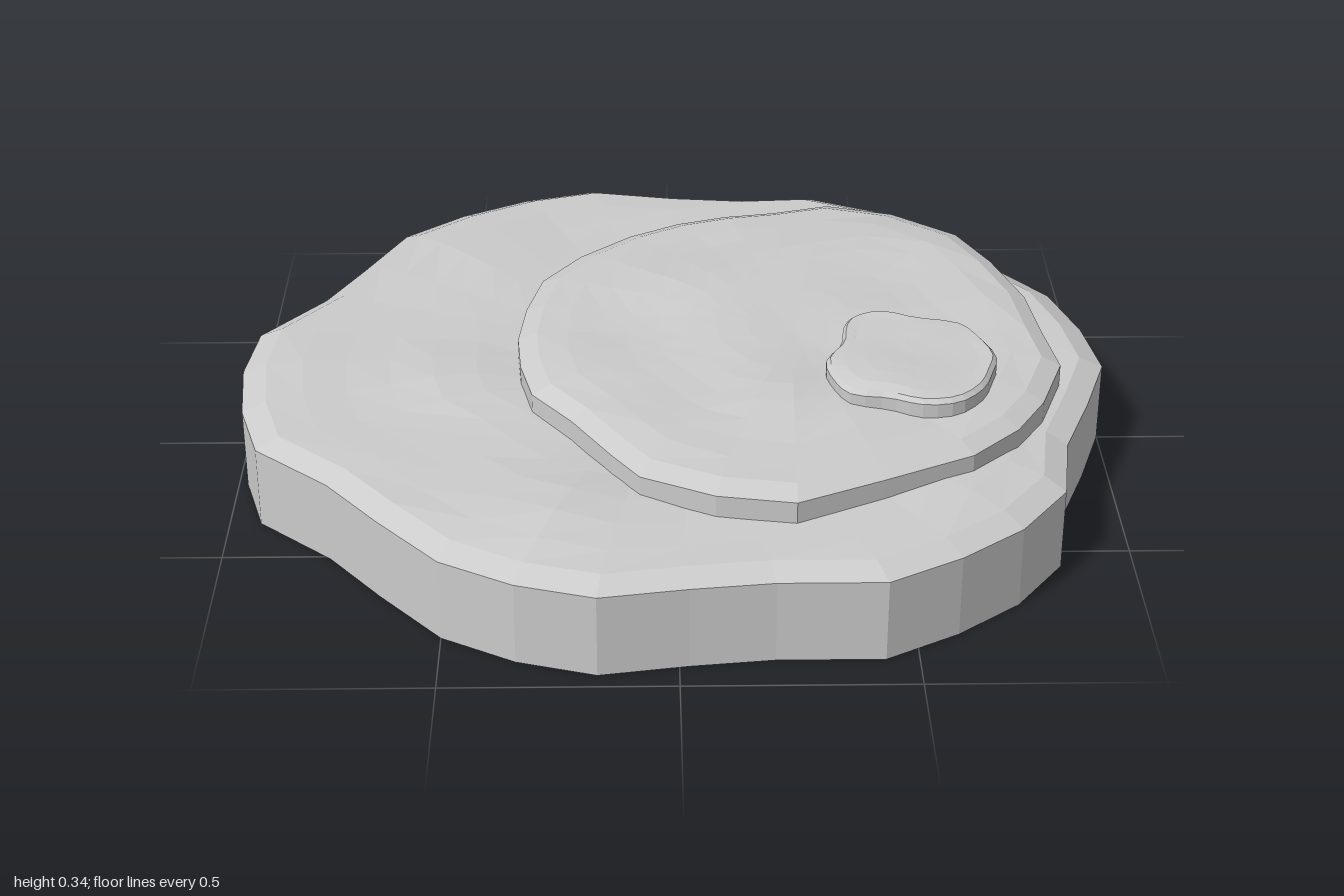
import * as THREE from 'three';

// Outlines as x, z pairs, running from +x towards -z
const BASE = [
  1, 0, .975, -.18, .92, -.36, .79, -.53, .68, -.72, .54, -.84, .37, -.92, .2, -.91,
  .01, -.93, -.2, -.97, -.37, -.92, -.53, -.83, -.67, -.71, -.76, -.52, -.84, -.36, -.98, -.18,
  -1, 0, -.98, .19, -.93, .36, -.76, .51, -.64, .66, -.5, .82, -.34, .91, -.17, .96,
  .02, .93, .2, .91, .43, .91, .59, .82, .73, .71, .84, .56, .87, .36, .94, .18];
const MIDDLE = [
  .88, .13, .86, -.02, .84, -.21, .78, -.4, .71, -.55, .56, -.67, .4, -.72, .26, -.68,
  .14, -.66, .02, -.62, -.1, -.55, -.22, -.44, -.31, -.31, -.345, -.16, -.36, -.01, -.35, .12,
  -.32, .25, -.23, .37, -.14, .52, -.08, .61, .08, .69, .25, .72, .44, .63, .64, .53,
  .75, .42, .82, .3];
const TOP = [
  .725, .19, .7, .1, .66, .03, .56, 0, .48, -.035, .415, -.01, .39, .04, .38, .12,
  .34, .2, .35, .28, .385, .35, .47, .37, .54, .4, .62, .39, .68, .33, .71, .25];

const toPoints = (a) => Array.from({ length: a.length / 2 }, (_, i) => new THREE.Vector2(a[2 * i], a[2 * i + 1]));

// Closed smooth resampling of an outline
function smooth(points, n) {
  const curve = new THREE.CatmullRomCurve3(points.map((p) => new THREE.Vector3(p.x, 0, p.y)), true);
  return Array.from({ length: n }, (_, i) => {
    const p = curve.getPoint(i / n);
    return new THREE.Vector2(p.x, p.z);
  });
}

// Soft mound used by the height rules
const mound = (x, z, cx, cz, r, h) => h * Math.exp(-((x - cx) ** 2 + (z - cz) ** 2) / (r * r));

// Slab: straight wall, bevelled rim, uneven top made of shrinking rings, flat underside
function slab(name, outline, { cx, cz, bottom, wallTop, rim, rimScale, rings, height }) {
  const n = outline.length, pos = [], index = [];
  const addRing = (s, yAt) => outline.forEach((p) => {
    const x = cx + (p.x - cx) * s, z = cz + (p.y - cz) * s;
    pos.push(x, yAt(x, z), z);
  });
  addRing(1, () => bottom);
  addRing(1, () => wallTop);
  addRing(rimScale, () => rim);
  rings.forEach((s) => addRing(s, height));
  const count = rings.length + 3;
  for (let r = 0; r < count - 1; r++) {
    for (let i = 0; i < n; i++) {
      const a = r * n + i, b = r * n + (i + 1) % n;
      index.push(a, b, b + n, a, b + n, a + n);
    }
  }
  const pole = pos.length / 3, under = pole + 1, last = (count - 1) * n;
  pos.push(cx, height(cx, cz), cz, cx, bottom, cz);
  for (let i = 0; i < n; i++) {
    const j = (i + 1) % n;
    index.push(last + i, last + j, pole, j, i, under);
  }
  const geo = new THREE.BufferGeometry();
  geo.setAttribute('position', new THREE.Float32BufferAttribute(pos, 3));
  geo.setIndex(index);
  geo.computeVertexNormals();
  const mesh = new THREE.Mesh(geo, new THREE.MeshStandardMaterial({ color: 0xcccccc, flatShading: true }));
  mesh.name = name;
  return mesh;
}

export function createModel() {
  const group = new THREE.Group();
  group.name = 'steppedRock';

  // Broad lower slab
  group.add(slab('baseSlab', toPoints(BASE), {
    cx: 0, cz: 0, bottom: 0, wallTop: .19, rim: .214, rimScale: .945,
    rings: [.86, .76, .66, .56, .46, .3],
    height: (x, z) => .216 + .004 * Math.sin(9 * x + 5 * z) * Math.cos(8 * z - 3 * x)
      + mound(x, z, -.52, .1, .15, .022) + mound(x, z, -.4, -.5, .17, .012)
      + mound(x, z, .6, .55, .17, .016) + mound(x, z, -.28, .64, .15, .02),
  }));

  // Off-centre second tier
  group.add(slab('middleSlab', toPoints(MIDDLE), {
    cx: .27, cz: 0, bottom: .2, wallTop: .265, rim: .284, rimScale: .93,
    rings: [.82, .71, .6, .49, .38, .27, .15],
    height: (x, z) => .288 + .005 * Math.sin(11 * x + 4 * z) * Math.cos(13 * z - 5 * x)
      + mound(x, z, .15, -.2, .2, .022) + mound(x, z, .42, -.45, .16, .014)
      + mound(x, z, .2, .28, .16, .014),
  }));

  // Small rounded cap stone
  group.add(slab('capStone', smooth(toPoints(TOP), 40), {
    cx: .53, cz: .19, bottom: .27, wallTop: .318, rim: .328, rimScale: .95,
    rings: [.8, .55, .3],
    height: (x, z) => .325 + mound(x, z, .46, .28, .13, .013) + mound(x, z, .6, .08, .1, .005),
  }));
  return group;
}
